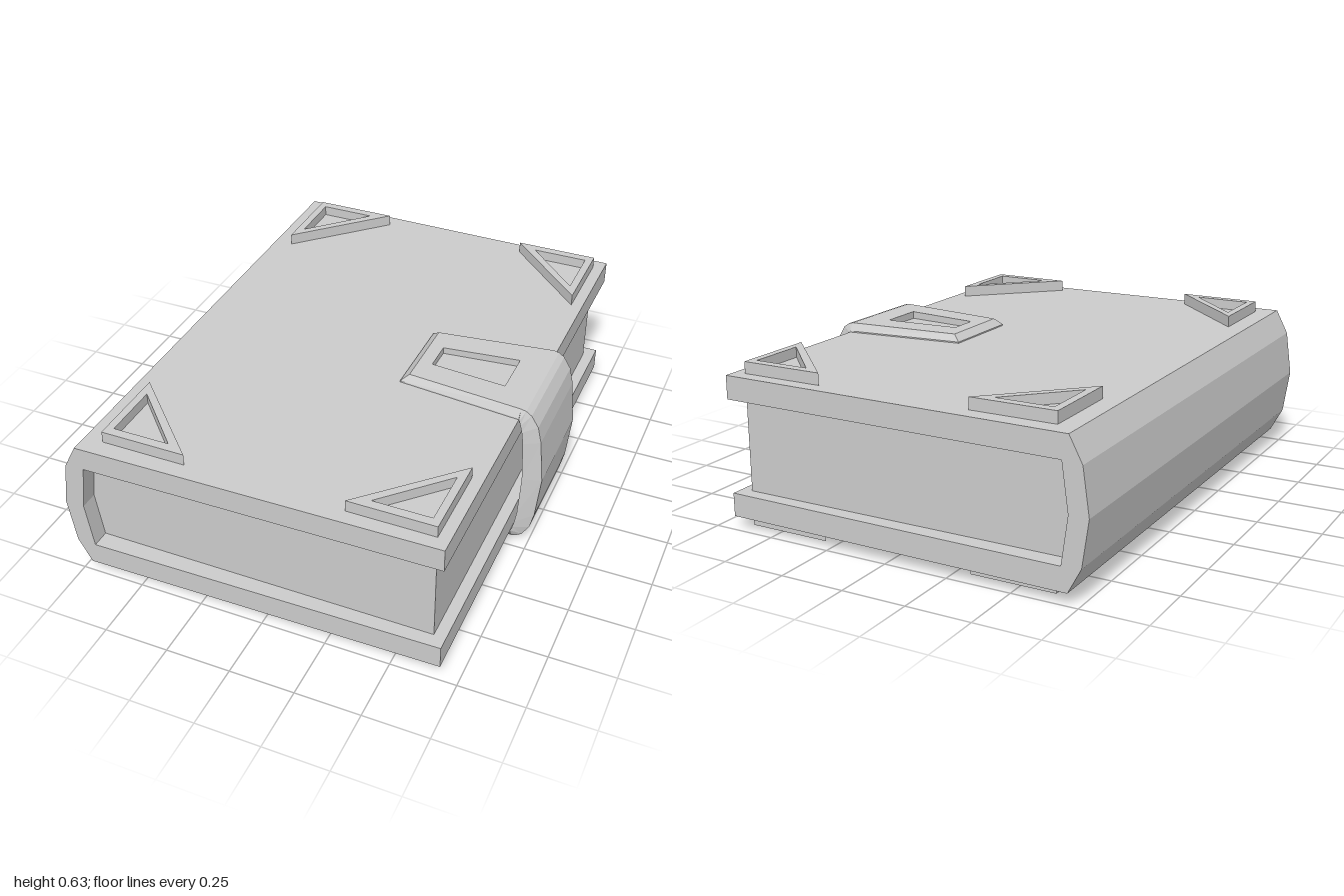
import * as THREE from 'three';

const MID = 0.315; // height of the book's mirror plane
const material = new THREE.MeshStandardMaterial({ color: 0xcccccc, flatShading: true });

function part(name, geometry) {
  const mesh = new THREE.Mesh(geometry, material);
  mesh.name = name;
  return mesh;
}

// Skin a list of equal-length rings of [x, y, z]; optionally close the last ring
// and mirror the result (y is mirrored about MID).
function loft(rings, { cap = false, sx = 1, sy = 1, sz = 1 } = {}) {
  const n = rings[0].length;
  const positions = rings.flat().flatMap(([x, y, z]) => [x * sx, MID + (y - MID) * sy, z * sz]);
  const index = [];
  const flip = sx * sy * sz < 0;
  const tri = (a, b, c) => (flip ? index.push(a, c, b) : index.push(a, b, c));
  for (let i = 0; i < rings.length - 1; i++) {
    for (let j = 0; j < n; j++) {
      const k = (j + 1) % n;
      const a = i * n + j, b = i * n + k, c = a + n, d = b + n;
      tri(a, b, d);
      tri(a, d, c);
    }
  }
  if (cap) {
    const s = (rings.length - 1) * n;
    for (let j = 1; j < n - 1; j++) tri(s, s + j, s + j + 1);
  }
  let geometry = new THREE.BufferGeometry();
  geometry.setAttribute('position', new THREE.Float32BufferAttribute(positions, 3));
  geometry.setIndex(index);
  geometry = geometry.toNonIndexed();
  geometry.computeVertexNormals();
  return geometry;
}

// Two boards and an angular spine in one profile, slightly tapered to the fore edge
function coverGeometry() {
  const outline = [
    [0.68, 0.585], [-0.71, 0.585], [-0.76, 0.49], [-0.785, 0.315], [-0.76, 0.14], [-0.71, 0.045],
    [0.68, 0.045], [0.68, 0.135], [-0.685, 0.135], [-0.71, 0.315], [-0.685, 0.495], [0.68, 0.495],
  ];
  const shape = new THREE.Shape(outline.map(([x, y]) => new THREE.Vector2(x, y)));
  const geometry = new THREE.ExtrudeGeometry(shape, { depth: 2, bevelEnabled: false });
  geometry.translate(0, 0, -1);
  const p = geometry.attributes.position;
  for (let i = 0; i < p.count; i++) {
    const t = Math.max(0, (p.getX(i) + 0.71) / 1.39);
    p.setZ(i, p.getZ(i) * (1 - 0.018 * t));
  }
  geometry.computeVertexNormals();
  return geometry;
}

// Page block whose back follows the inside of the spine
function pagesGeometry() {
  const outline = [[0.635, 0.495], [-0.685, 0.495], [-0.71, 0.315], [-0.685, 0.135], [0.635, 0.135]];
  const shape = new THREE.Shape(outline.map(([x, y]) => new THREE.Vector2(x, y)));
  const geometry = new THREE.ExtrudeGeometry(shape, { depth: 1.86, bevelEnabled: false });
  return geometry.translate(0, 0, -0.93);
}

// Raised triangular frame
function cornerGeometry(mirror) {
  const outer = [[0.635, 0.93], [0.635, 0.6], [0.305, 0.93]];
  const inner = [[0.605, 0.895], [0.605, 0.67], [0.385, 0.895]];
  const ring = (pts, y) => pts.map(([x, z]) => [x, y, z]);
  return loft([ring(outer, 0.58), ring(outer, 0.63), ring(inner, 0.63), ring(inner, 0.59)],
    { cap: true, ...mirror });
}

// Bevelled tapering tongue of the clasp with a recessed window
function tongueGeometry(mirror) {
  const ring = (x0, w0, x1, w1, y0, y1 = y0) =>
    [[x1, y1, w1], [x1, y1, -w1], [x0, y0, -w0], [x0, y0, w0]];
  return loft([
    ring(0.195, 0.175, 0.68, 0.225, 0.58),
    ring(0.195, 0.175, 0.68, 0.225, 0.59),
    ring(0.225, 0.155, 0.68, 0.205, 0.615, 0.62),
    ring(0.28, 0.06, 0.58, 0.09, 0.616, 0.619),
    ring(0.28, 0.06, 0.58, 0.09, 0.59),
  ], { cap: true, ...mirror });
}

// Band bending round the fore edge from the upper tongue to the lower one
function bandGeometry() {
  // outer x, outer y, inner x, inner y
  const half = [
    [0.68, 0.62, 0.675, 0.585],
    [0.7, 0.615, 0.682, 0.58],
    [0.722, 0.6, 0.688, 0.56],
    [0.75, 0.555, 0.695, 0.53],
    [0.765, 0.49, 0.702, 0.48],
  ];
  const below = half.map(([a, b, c, d]) => [a, 2 * MID - b, c, 2 * MID - d]).reverse();
  const stations = [...half, [0.782, MID, 0.71, MID], ...below];
  return loft(stations.map(([ox, oy, ix, iy]) =>
    [[ox, oy, -0.205], [ox, oy, 0.205], [ix, iy, 0.225], [ix, iy, -0.225]]));
}

export function createModel() {
  const book = new THREE.Group();
  book.name = 'book';
  book.add(part('cover', coverGeometry()), part('pages', pagesGeometry()));

  const corners = new THREE.Group();
  corners.name = 'cornerGuards';
  const clasp = new THREE.Group();
  clasp.name = 'clasp';
  clasp.add(part('claspBand', bandGeometry()));
  for (const sy of [1, -1]) {
    const level = sy > 0 ? 'upper' : 'lower';
    clasp.add(part(`${level}ClaspTongue`, tongueGeometry({ sy })));
    for (const sx of [1, -1]) {
      for (const sz of [1, -1]) {
        const name = `${level}${sz > 0 ? 'Front' : 'Back'}${sx > 0 ? 'Left' : 'Right'}Corner`;
        corners.add(part(name, cornerGeometry({ sx, sy, sz })));
      }
    }
  }
  book.add(corners, clasp);
  return book;
}
